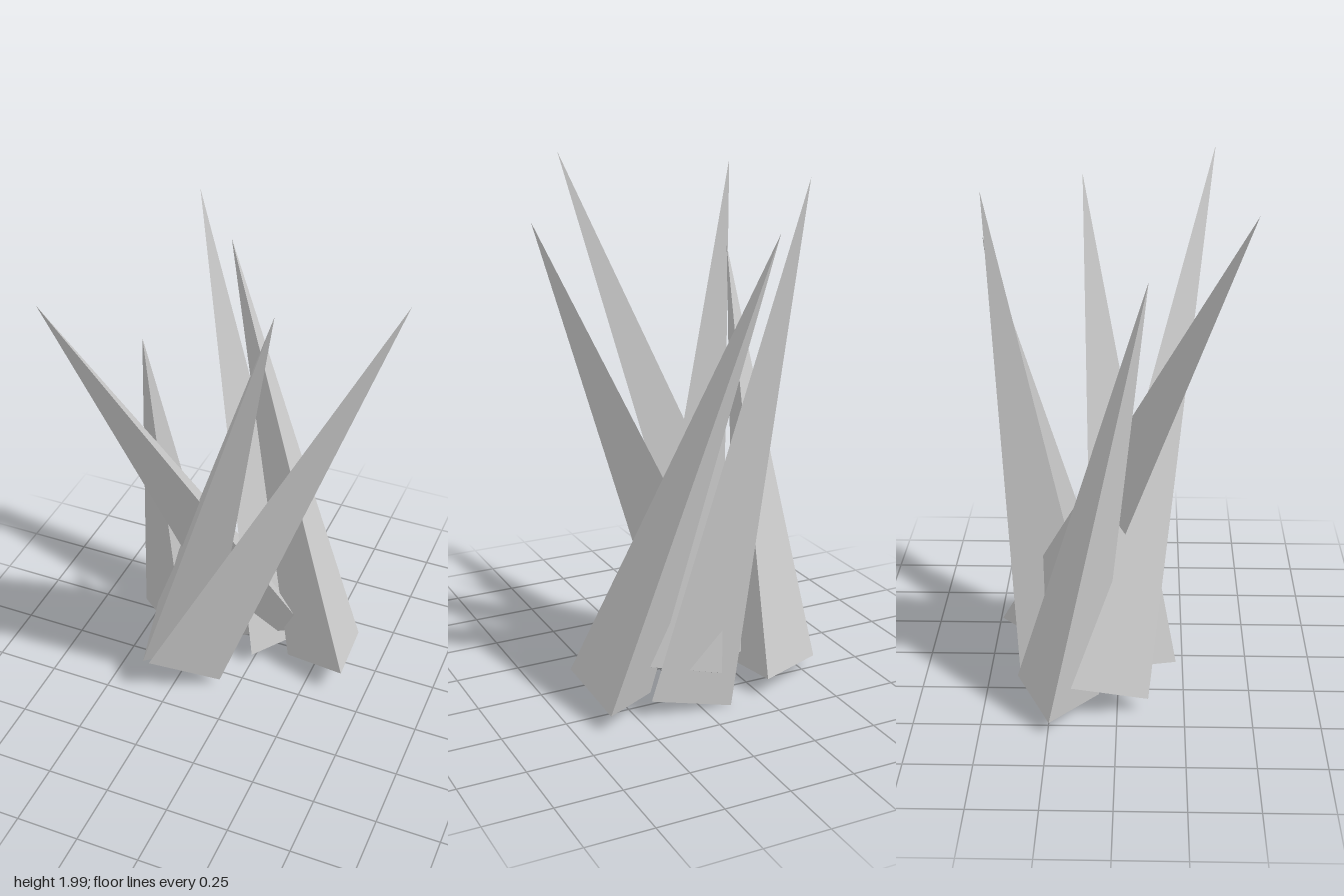
import * as THREE from 'three';

const RADIUS = 0.183;
const material = new THREE.MeshStandardMaterial({ color: 0xcccccc, flatShading: true });

// Each spike: name, tip, centre of its base, one corner of its triangular base
const SPIKES = [
  ['frontRightSpike', [-0.53, 1.925, 0.455], [0.018, 0.134, -0.289], [-0.03, 0.19, -0.455]],
  ['frontLeftSpike', [0.25, 2.0, 0.345], [-0.345, 0.081, -0.058], [-0.4, 0.06, 0.115]],
  ['leftSpike', [0.55, 1.83, -0.155], [-0.237, 0.116, 0.065], [-0.32, 0.17, 0.217]],
  ['backRightSpike', [-0.35, 1.96, -0.45], [0.032, 0.046, -0.276], [-0.105, 0.008, -0.386]],
  ['backSpike', [-0.232, 1.78, -0.46], [0.305, 0.073, -0.213], [0.405, 0.125, -0.07]],
  ['rightSpike', [-0.332, 1.65, 0.105], [-0.373, 0.047, -0.233], [-0.555, 0.055, -0.245]],
];

// Three-sided cone standing on its base centre, turned so one corner meets the given point
function makeSpike(name, tip, base, corner) {
  const top = new THREE.Vector3(...tip);
  const foot = new THREE.Vector3(...base);
  const yAxis = top.clone().sub(foot);
  const height = yAxis.length();
  yAxis.normalize();
  const zAxis = new THREE.Vector3(...corner).sub(foot).projectOnPlane(yAxis).normalize();
  const xAxis = new THREE.Vector3().crossVectors(yAxis, zAxis);

  const geometry = new THREE.ConeGeometry(RADIUS, height, 3).translate(0, height / 2, 0);
  const spike = new THREE.Mesh(geometry, material);
  spike.name = name;
  spike.quaternion.setFromRotationMatrix(new THREE.Matrix4().makeBasis(xAxis, yAxis, zAxis));
  spike.position.copy(foot);
  return spike;
}

export function createModel() {
  const group = new THREE.Group();
  group.name = 'spikeCluster';
  for (const spec of SPIKES) group.add(makeSpike(...spec));
  return group;
}
